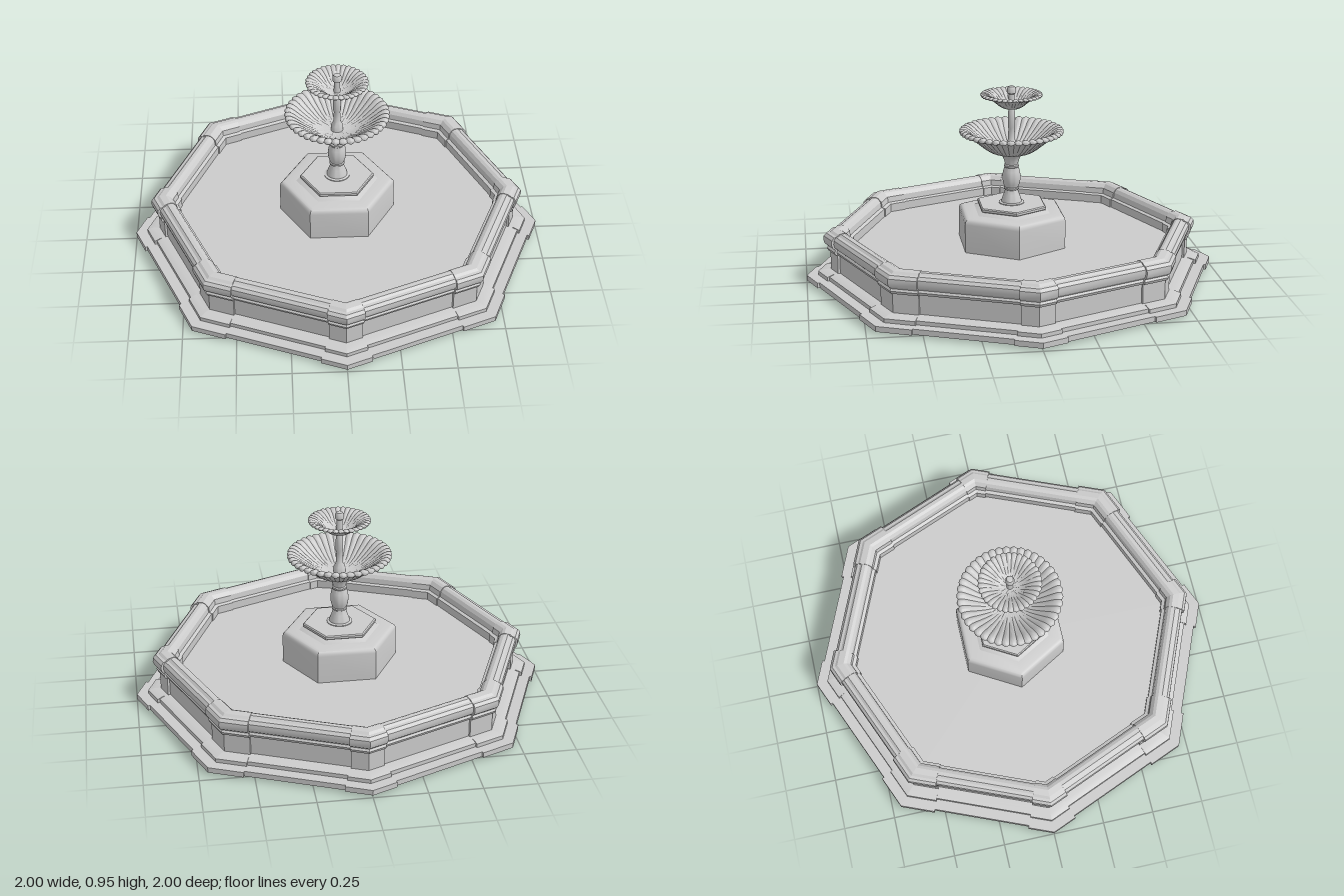
import * as THREE from 'three';
import { toCreasedNormals } from 'three/addons/utils/BufferGeometryUtils.js';

const material = new THREE.MeshStandardMaterial({ color: 0xcccccc });
const V = ([r, y]) => new THREE.Vector2(r, y);
const SIN = Math.sin(Math.PI / 8), COS = Math.cos(Math.PI / 8);
const FLOOR = 0.165;

function add(parent, name, geometry) {
  const mesh = new THREE.Mesh(geometry, material);
  mesh.name = name;
  parent.add(mesh);
  return mesh;
}

// Lathe with a chosen number of sides; profile runs from bottom to top
function turned(points, sides, phi = 0, crease = 0.6) {
  return toCreasedNormals(new THREE.LatheGeometry(points.map(V), sides, phi), crease);
}

// Straight run along one octagon side. Profile radii are measured at the
// octagon's corners; from(r) and to(r) give the ends along the side.
function run(profile, from, to) {
  const shape = new THREE.Shape(profile.map(V));
  const geometry = new THREE.ExtrudeGeometry(shape, { depth: 1, bevelEnabled: false });
  const p = geometry.attributes.position;
  for (let i = 0; i < p.count; i++) {
    const r = p.getX(i);
    p.setXYZ(i, r * COS, p.getY(i), THREE.MathUtils.lerp(from(r), to(r), p.getZ(i)));
  }
  return toCreasedNormals(geometry, 0.4);
}

// Wall sections: stepped plinth, plain wall, coping; o pushes piers outwards
function wallProfiles(o) {
  return {
    Plinth: [[0.79, 0.012], [0.988 + o, 0.012], [0.988 + o, 0.038], [0.932 + o, 0.038],
      [0.932 + o, 0.057], [0.9 + o, 0.066], [0.79, 0.066]],
    Wall: [[0.795, 0.066], [0.87 + o, 0.066], [0.87 + o, 0.165], [0.795, 0.165]],
    Coping: [[0.79 - o / 2, 0.16], [0.88 + o, 0.16], [0.887 + o, 0.174], [0.88 + o, 0.184],
      [0.896 + o, 0.197], [0.902 + o, 0.215], [0.9 + o, 0.235], [0.887 + o, 0.249],
      [0.872 + o, 0.252], [0.86 + o, 0.261], [0.84, 0.262 + o / 4], [0.825, 0.256 + o / 4],
      [0.812 - o / 2, 0.24], [0.808 - o / 2, 0.212], [0.79 - o / 2, 0.206]],
  };
}

// Bowl whose surface swells into radial flutes towards the rim
function flutedBowl(points, flutes, amount) {
  const curve = new THREE.CatmullRomCurve3(points.map(([r, y]) => new THREE.Vector3(r, y, 0)), false, 'centripetal');
  const profile = curve.getPoints(28).map((p) => new THREE.Vector2(Math.max(p.x, 0), p.y));
  const geometry = new THREE.LatheGeometry(profile, flutes * 6);
  const p = geometry.attributes.position, n = geometry.attributes.normal;
  const rim = Math.max(...points.map((q) => q[0]));
  for (let i = 0; i < p.count; i++) {
    const x = p.getX(i), z = p.getZ(i);
    const swell = Math.abs(Math.sin(Math.atan2(x, z) * flutes / 2)) - 0.6;
    const d = amount * swell * Math.hypot(x, z) / rim;
    p.setXYZ(i, x + n.getX(i) * d, p.getY(i) + n.getY(i) * d, z + n.getZ(i) * d);
  }
  return toCreasedNormals(geometry, 0.9);
}

export function createModel() {
  const fountain = new THREE.Group();
  fountain.name = 'fountain';

  // Base slab and basin floor
  add(fountain, 'baseSlab', turned([[0, 0], [0.88, 0], [0.88, 0.02], [0, 0.02]], 8));
  add(fountain, 'basinFloor', turned([[0.8, FLOOR], [0, FLOOR]], 8));

  // Octagonal basin wall with a slightly projecting pier at each corner
  const side = wallProfiles(0), pier = wallProfiles(0.012);
  const corner = (r) => r * SIN;
  const pierStart = (length) => () => 0.9 * SIN - length;
  for (let i = 0; i < 8; i++) {
    const section = new THREE.Group();
    section.name = 'basinSide';
    section.rotation.y = (i + 0.5) * Math.PI / 4;
    fountain.add(section);
    // piers alternate between short and long
    const plus = pierStart(i % 2 ? 0.09 : 0.13), minus = pierStart(i % 2 ? 0.13 : 0.09);
    for (const part of ['Plinth', 'Wall', 'Coping']) {
      add(section, 'side' + part, run(side[part], (r) => -corner(r), corner));
      add(section, 'pier' + part, run(pier[part], minus, corner));
      add(section, 'pier' + part, run(pier[part], (r) => -corner(r), () => -plus()));
    }
  }

  // Hexagonal pedestal in two tiers
  add(fountain, 'pedestal', turned([[0.28, FLOOR - 0.01], [0.28, 0.305], [0.277, 0.318], [0.268, 0.327],
    [0.255, 0.331], [0.18, 0.333], [0, 0.333]], 6, Math.PI / 2));
  add(fountain, 'pedestalStep', turned([[0.2, 0.332], [0.185, 0.338], [0.17, 0.345], [0.18, 0.35],
    [0.18, 0.361], [0.174, 0.366], [0, 0.366]], 6, Math.PI / 2));

  // Baluster column
  add(fountain, 'column', turned([[0.062, 0.365], [0.062, 0.37], [0.05, 0.373], [0.047, 0.385], [0.038, 0.41],
    [0.031, 0.432], [0.037, 0.436], [0.037, 0.443], [0.033, 0.447], [0.039, 0.46], [0.043, 0.48],
    [0.044, 0.5], [0.041, 0.525], [0.034, 0.545], [0.037, 0.549], [0.037, 0.556], [0.031, 0.56],
    [0.036, 0.58], [0.045, 0.6], [0.064, 0.622], [0, 0.625]], 32));

  // Lower bowl, upper stem, upper bowl and nozzle
  add(fountain, 'lowerBowl', flutedBowl([[0, 0.612], [0.05, 0.613], [0.09, 0.62], [0.12, 0.636], [0.15, 0.66],
    [0.18, 0.685], [0.205, 0.705], [0.228, 0.714], [0.246, 0.717], [0.248, 0.726], [0.238, 0.734],
    [0.215, 0.729], [0.185, 0.706], [0.15, 0.679], [0.11, 0.652], [0.06, 0.636], [0, 0.634]], 42, 0.008));
  add(fountain, 'upperStem', turned([[0.03, 0.63], [0.028, 0.66], [0.018, 0.68], [0.015, 0.735], [0.018, 0.745],
    [0.018, 0.8], [0.016, 0.82], [0.014, 0.832], [0.022, 0.842], [0.03, 0.85], [0, 0.85]], 20));
  add(fountain, 'upperBowl', flutedBowl([[0, 0.835], [0.03, 0.836], [0.05, 0.843], [0.075, 0.863], [0.1, 0.883],
    [0.122, 0.894], [0.144, 0.897], [0.147, 0.903], [0.138, 0.909], [0.12, 0.905], [0.095, 0.891],
    [0.065, 0.866], [0.035, 0.852], [0, 0.85]], 34, 0.006));
  add(fountain, 'nozzle', turned([[0.016, 0.845], [0.014, 0.905], [0.021, 0.911], [0.021, 0.932],
    [0.016, 0.942], [0.008, 0.946], [0, 0.946]], 16));

  return fountain;
}
